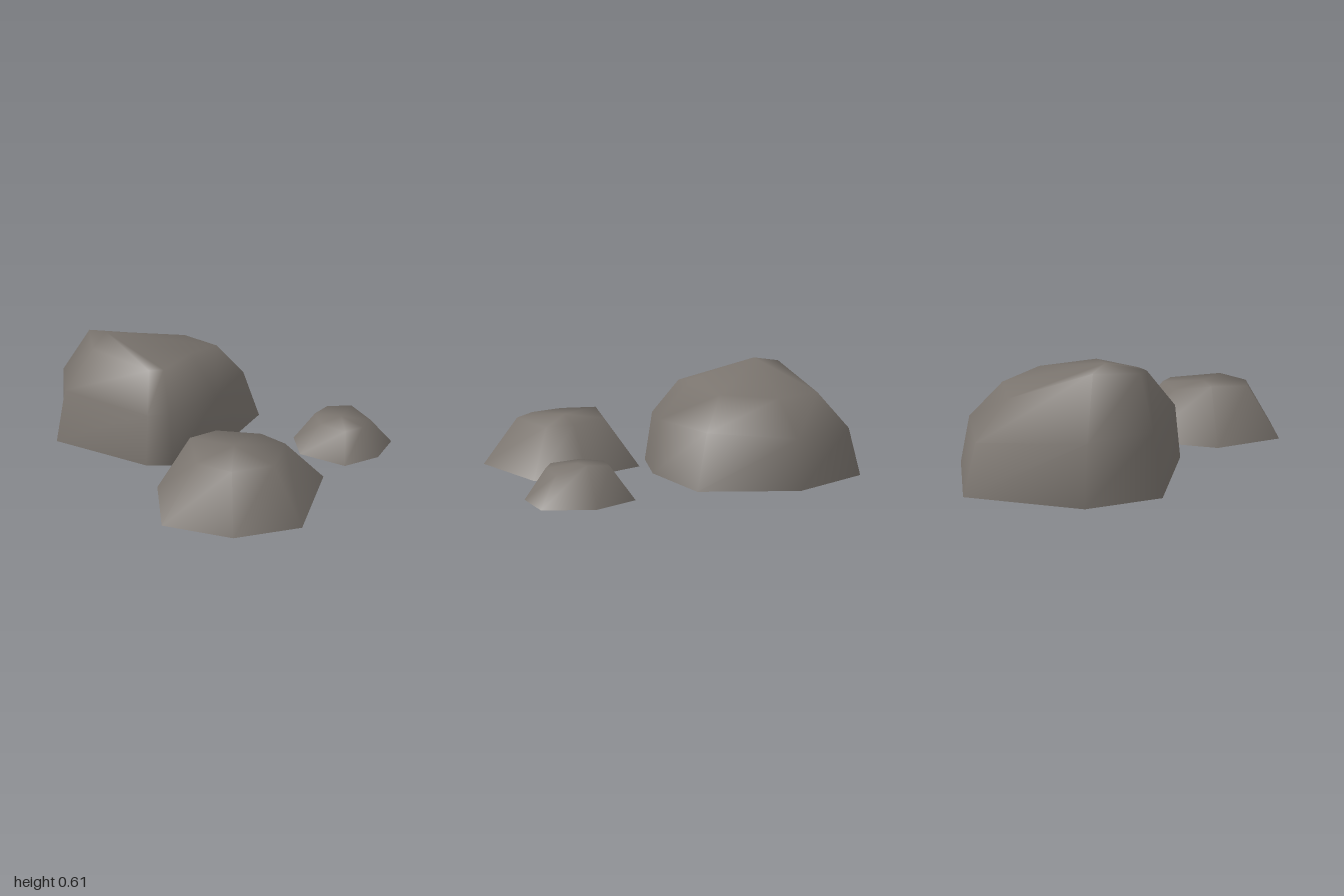
import * as THREE from 'three';

const stone = new THREE.MeshStandardMaterial({ color: 0x7a746e, side: THREE.DoubleSide });
stone.name = 'grey stone';

// Hollow boulder: rings of [x, y, z] from ground to crown, closed by a peak, open underneath
function boulder(name, rings, peak) {
  const n = rings[0].length;
  const points = [...rings.flat(), peak];
  const index = [];
  for (let r = 0; r < rings.length; r++) {
    for (let i = 0; i < n; i++) {
      const a = r * n + i, b = r * n + (i + 1) % n;
      if (r === rings.length - 1) index.push(a, points.length - 1, b);
      else index.push(a, a + n, b, b, a + n, b + n);
    }
  }
  const geometry = new THREE.BufferGeometry();
  geometry.setAttribute('position', new THREE.Float32BufferAttribute(points.flat(), 3));
  geometry.setIndex(index);
  geometry.computeVertexNormals();
  const mesh = new THREE.Mesh(geometry, stone);
  mesh.name = name;
  return mesh;
}

// Ground outline from [x, z] pairs
const ground = (outline) => outline.map(([x, z]) => [x, 0, z]);

export function createModel() {
  const group = new THREE.Group();
  group.name = 'rocks';

  // Large rock: ground, shoulder and crown rings
  group.add(boulder('largeRock', [
    ground([[-0.70, -0.97], [-0.16, -0.93], [0.21, -0.54], [0.03, -0.08],
      [-0.23, 0.21], [-0.38, 0.22], [-0.95, -0.05], [-1.0, -0.44]]),
    [[-0.68, 0.26, -0.90], [-0.20, 0.26, -0.88], [0.11, 0.29, -0.52], [-0.01, 0.30, -0.09],
      [-0.25, 0.29, 0.17], [-0.37, 0.29, 0.19], [-0.89, 0.31, -0.08], [-0.98, 0.31, -0.42]],
    [[-0.62, 0.45, -0.73], [-0.27, 0.45, -0.71], [-0.05, 0.47, -0.48], [-0.17, 0.52, -0.19],
      [-0.30, 0.49, 0.01], [-0.38, 0.49, 0.03], [-0.72, 0.56, -0.10], [-0.79, 0.59, -0.35]],
  ], [-0.67, 0.61, -0.26]));

  // Medium rock in front
  group.add(boulder('mediumRock', [
    ground([[-0.06, 0.10], [0.33, 0.13], [0.60, 0.27], [0.49, 0.83],
      [0.16, 0.96], [-0.20, 0.87], [-0.28, 0.47]]),
    [[0.02, 0.27, 0.31], [0.26, 0.26, 0.31], [0.39, 0.25, 0.40], [0.34, 0.27, 0.70],
      [0.14, 0.27, 0.79], [-0.04, 0.28, 0.73], [-0.10, 0.305, 0.49]],
  ], [0.13, 0.285, 0.52]));

  // Small rock at the side
  group.add(boulder('smallRock', [
    ground([[0.55, -0.42], [0.81, -0.41], [1.0, -0.22], [0.91, 0.0],
      [0.72, 0.13], [0.47, 0.0], [0.43, -0.22]]),
    [[0.62, 0.17, -0.31], [0.76, 0.19, -0.29], [0.87, 0.145, -0.19], [0.82, 0.155, -0.06],
      [0.72, 0.155, 0.01], [0.58, 0.165, -0.06], [0.55, 0.17, -0.20]],
  ], [0.70, 0.175, -0.16]));

  return group;
}
